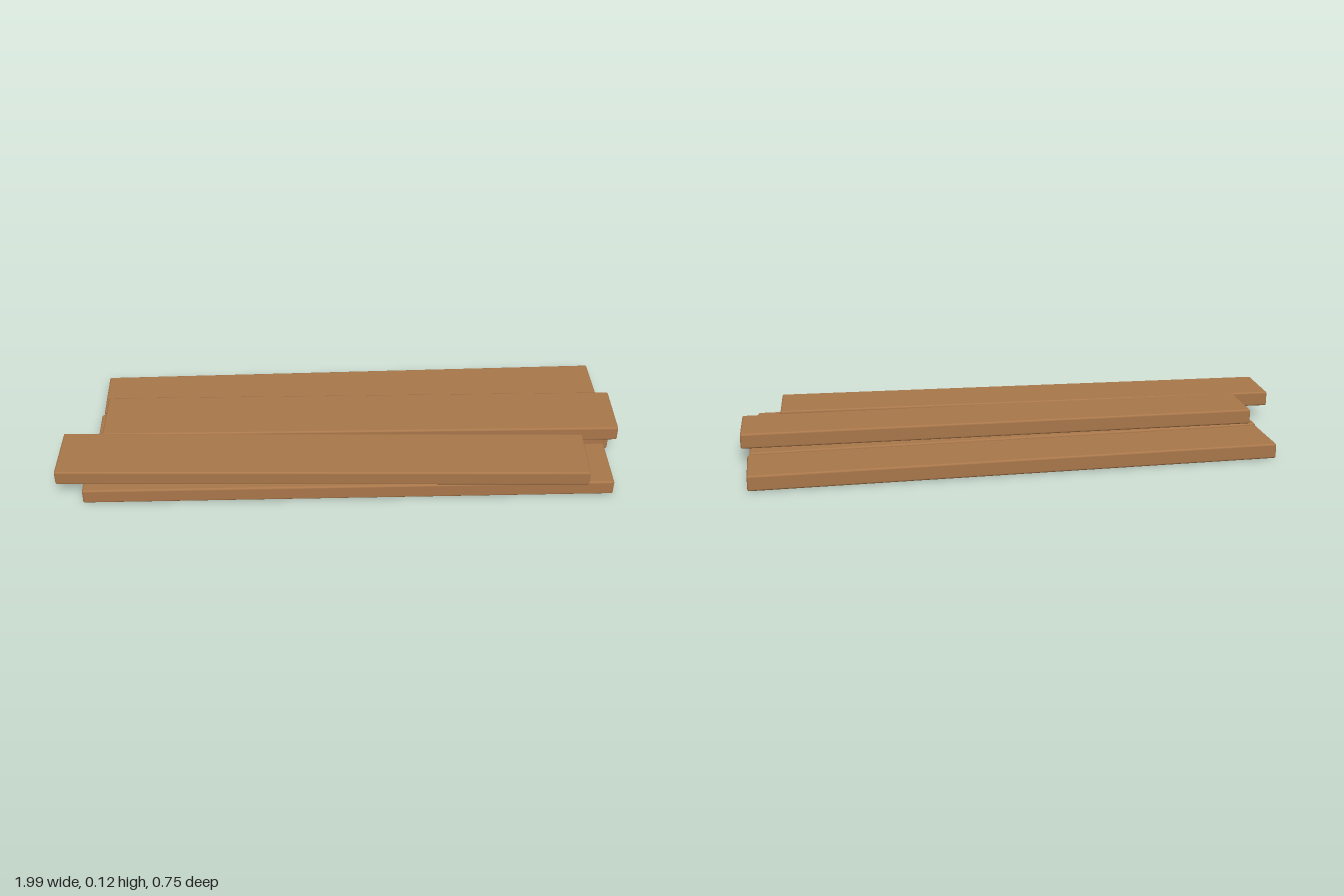
import * as THREE from 'three';
import { RoundedBoxGeometry } from 'three/addons/geometries/RoundedBoxGeometry.js';

export function createModel() {
  const group = new THREE.Group();
  group.name = 'plankStack';

  const wood = new THREE.MeshStandardMaterial({ color: 0xa9774a });
  wood.name = 'wood';

  // One plank shape with slightly rounded edges, shared by the whole stack
  const length = 1.855, thickness = 0.055, width = 0.22;
  const plank = new RoundedBoxGeometry(length, thickness, width, 2, 0.007);

  // name, x, base height, z, turn about the vertical
  const planks = [
    ['lowerBackPlank', 0.035, 0, -0.228, 0.041],
    ['lowerMiddlePlank', 0.038, 0, 0.007, 0.042],
    ['lowerFrontPlank', 0.02, 0, 0.241, 0.023],
    ['upperBackPlank', 0.065, 0.062, 0.009, 0.016],
    ['upperFrontPlank', -0.07, 0.062, 0.24, -0.005],
  ];
  for (const [name, x, base, z, turn] of planks) {
    const mesh = new THREE.Mesh(plank, wood);
    mesh.name = name;
    mesh.position.set(x, base + thickness / 2, z);
    mesh.rotation.y = turn;
    group.add(mesh);
  }
  return group;
}
